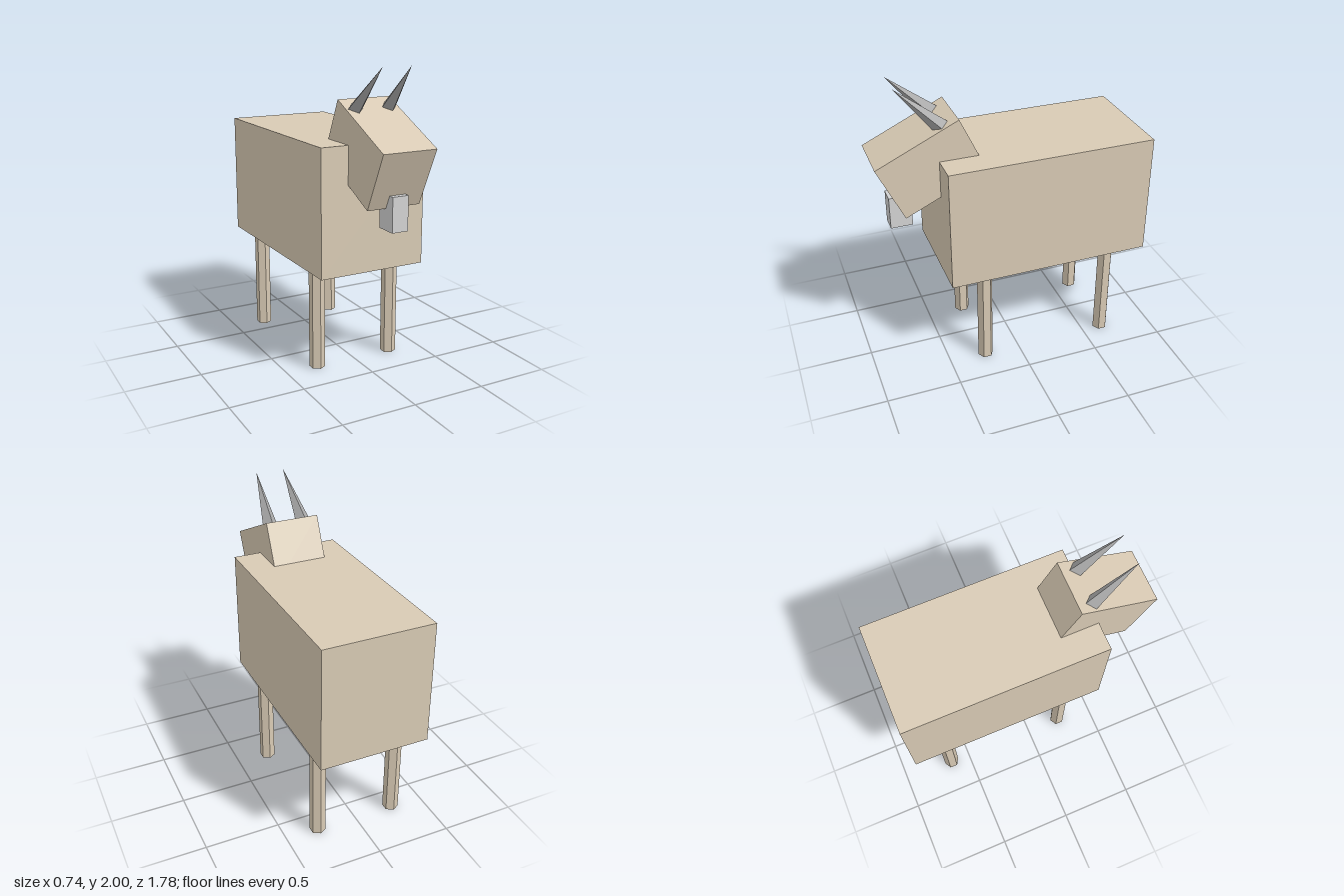
import * as THREE from 'three';

export function createModel() {
  const goat = new THREE.Group();
  goat.name = 'goat';

  const mat = (name, color) => {
    const m = new THREE.MeshStandardMaterial({ color, flatShading: true });
    m.name = name;
    return m;
  };
  const coat = mat('tan coat', 0xd8cab4);
  const hornGrey = mat('horn grey', 0xa9a9a9);
  const beardGrey = mat('light beard grey', 0xd3d3d3);

  const add = (name, geometry, material, x, y, z) => {
    const mesh = new THREE.Mesh(geometry, material);
    mesh.name = name;
    mesh.position.set(x, y, z);
    goat.add(mesh);
    return mesh;
  };

  // Body block and head tilted nose-down
  add('body', new THREE.BoxGeometry(0.735, 0.825, 1.375), coat, 0, 1.1075, -0.1975);
  const head = add('head', new THREE.BoxGeometry(0.365, 0.403, 0.59), coat, 0, 1.4725, 0.5375);
  head.rotation.x = 0.437;

  // Beard under the chin
  add('beard', new THREE.BoxGeometry(0.11, 0.22, 0.145), beardGrey, 0, 1.14, 0.7225);

  // Hexagonal legs
  const legGeo = new THREE.CylinderGeometry(0.0525, 0.0525, 0.71, 6);
  // Four-sided horns, with the tip at the geometry's origin
  const hornLength = 0.436;
  const hornGeo = new THREE.ConeGeometry(0.056, hornLength, 4).translate(0, -hornLength / 2, 0);
  const up = new THREE.Vector3(0, 1, 0);

  for (const [side, s] of [['left', 1], ['right', -1]]) {
    add(side + 'FrontLeg', legGeo, coat, s * 0.275, 0.355, 0.244);
    add(side + 'BackLeg', legGeo, coat, s * 0.275, 0.355, -0.64);

    // Horns lean forward and slightly inward
    const horn = add(side + 'Horn', hornGeo, hornGrey, s * 0.098, 2, 0.733);
    const direction = new THREE.Vector3(-s * 0.02, 0.27, 0.273).normalize();
    horn.quaternion.setFromUnitVectors(up, direction);
  }

  return goat;
}
